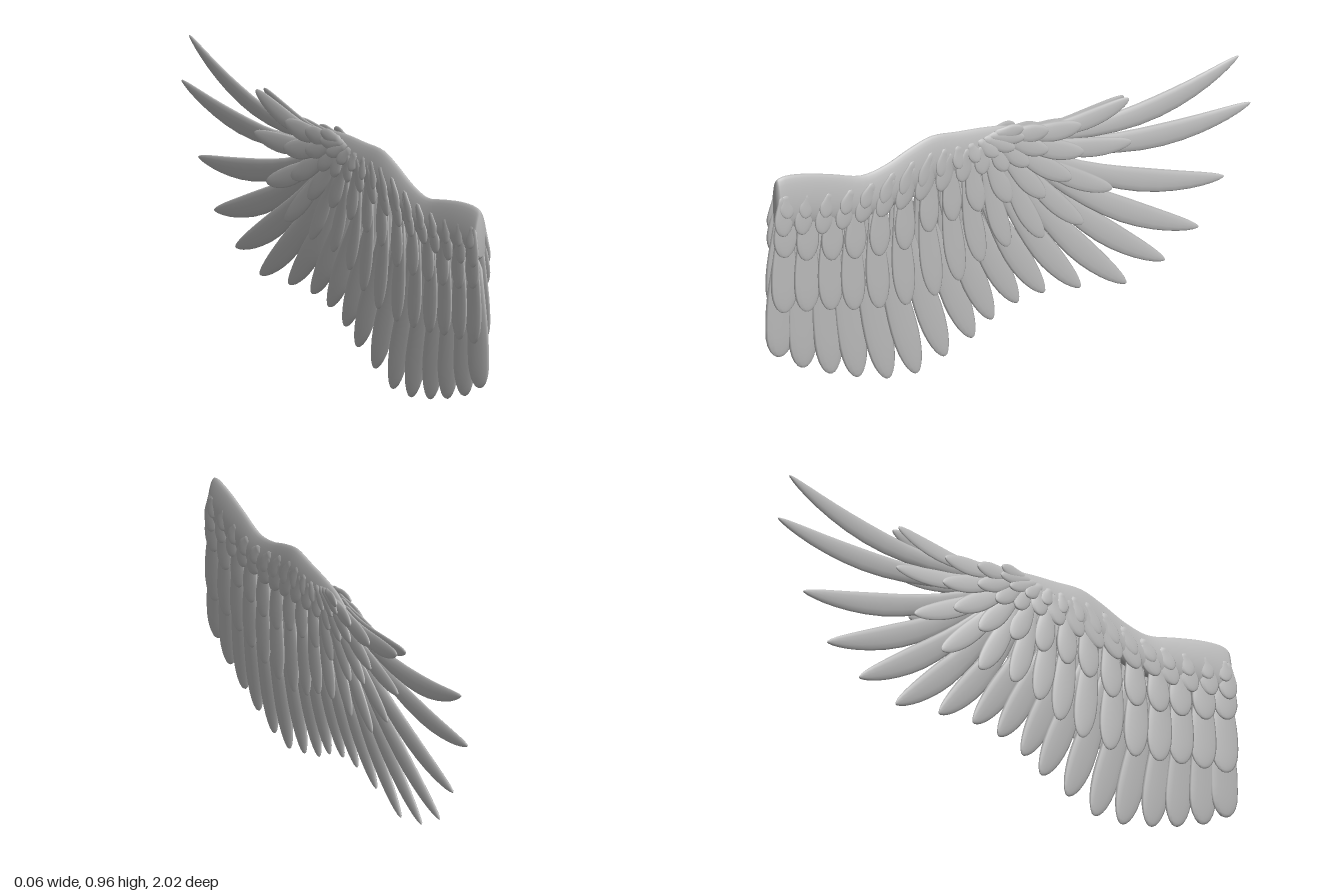
import * as THREE from 'three';

const gray = new THREE.MeshStandardMaterial({ color: 0xb8b8b8 });
gray.name = 'feather gray';

// Skin a list of equal closed rings of [x, y, z] points
function loft(rings) {
  const n = rings[0].length, index = [];
  for (let i = 0; i < rings.length - 1; i++) {
    for (let j = 0; j < n; j++) {
      const k = (j + 1) % n;
      const a = i * n + j, b = i * n + k, c = a + n, d = b + n;
      index.push(a, c, b, b, c, d);
    }
  }
  const geo = new THREE.BufferGeometry();
  geo.setAttribute('position', new THREE.Float32BufferAttribute(rings.flat(2), 3));
  geo.setIndex(index);
  geo.computeVertexNormals();
  return geo;
}

// One feather in the z-y plane: a flat oval section swept from root to tip
function feather({ root, tip, width, thick, x, side, lift, roll, bend, tipStart, point }) {
  const steps = 14, sides = 12, rings = [];
  const dz = tip[0] - root[0], dy = tip[1] - root[1], len = Math.hypot(dz, dy);
  const nz = -dy / len, ny = dz / len;
  for (let i = 0; i <= steps; i++) {
    const t = Math.sin((Math.PI / 2) * (i / steps));
    const sag = bend * 4 * t * (1 - t), slope = bend * 4 * (1 - 2 * t);
    const cz = root[0] + dz * t + nz * sag, cy = root[1] + dy * t + ny * sag;
    // side direction follows the curve of the shaft
    const tz = dz + nz * slope, ty = dy + ny * slope, tl = Math.hypot(tz, ty);
    const u = Math.max(0, (t - tipStart) / (1 - tipStart));
    const taper = Math.pow(Math.max(0, 1 - u * u), point);
    const grow = 0.5 + 0.5 * THREE.MathUtils.smoothstep(t, 0, 0.7);
    const w = i === 0 ? 0 : width * grow * taper;
    const h = i === 0 ? 0 : thick * Math.sqrt(taper);
    const ring = [];
    for (let j = 0; j < sides; j++) {
      const a = (j / sides) * Math.PI * 2, c = Math.cos(a);
      const out = side * (x - lift * (1 - t) + roll * c * taper);
      ring.push([out + h * Math.sin(a), cy + (tz / tl) * w * c, cz - (ty / tl) * w * c]);
    }
    rings.push(ring);
  }
  return loft(rings);
}

// A row of feathers whose roots are spread along a curve; pairs blend first to last
function featherRow(name, row, side) {
  const group = new THREE.Group();
  group.name = name;
  const roots = new THREE.CatmullRomCurve3(row.roots.map(([z, y]) => new THREE.Vector3(0, y, z)));
  const blend = ([a, b], t) => a + (b - a) * t;
  row.tips.forEach((tip, i) => {
    const t = i / (row.tips.length - 1), p = roots.getPoint(t);
    const mesh = new THREE.Mesh(feather({
      ...row, side, tip, root: [p.z, p.y],
      width: blend(row.width, t),
      bend: blend(row.bend, t * t * t),
      tipStart: blend(row.tipStart, t),
      point: blend(row.point, t),
    }), gray);
    mesh.name = name + 'Feather';
    group.add(mesh);
  });
  return group;
}

// Long feathers in the middle, shared by both faces of the wing
const flight = {
  tips: [[0.955, 0.155], [0.855, 0.10], [0.74, 0.06], [0.63, 0.03], [0.505, 0.005], [0.387, 0.005],
    [0.27, 0.05], [0.156, 0.10], [0.075, 0.155], [-0.03, 0.20], [-0.14, 0.22], [-0.29, 0.215],
    [-0.48, 0.20], [-0.64, 0.26], [-0.78, 0.36], [-0.885, 0.53], [-0.995, 0.785], [-0.945, 0.965]],
  roots: [[0.935, 0.65], [0.62, 0.62], [0.25, 0.70], [0, 0.75], [-0.02, 0.82]],
  width: [0.064, 0.042], thick: 0.01, x: 0, lift: 0, roll: 0.004,
  bend: [0.008, 0.085], tipStart: [0.8, 0.5], point: [0.5, 0.62],
};

// Covering rows, each shorter and further out, repeated on both faces
const coverts = {
  longCovert: {
    tips: [[0.945, 0.32], [0.85, 0.31], [0.75, 0.30], [0.655, 0.285], [0.55, 0.275], [0.44, 0.27],
      [0.32, 0.285], [0.22, 0.325], [0.13, 0.38], [0.02, 0.42], [-0.125, 0.43], [-0.29, 0.455],
      [-0.41, 0.565], [-0.49, 0.725], [-0.48, 0.885]],
    roots: [[0.94, 0.70], [0.62, 0.66], [0.27, 0.74], [0.03, 0.78], [0, 0.83]],
    width: [0.058, 0.034], thick: 0.007, x: 0.017, lift: 0.008, roll: 0.004,
    bend: [0.005, 0.035], tipStart: [0.75, 0.6], point: [0.5, 0.5],
  },
  middleCovert: {
    tips: [[0.945, 0.525], [0.855, 0.50], [0.75, 0.485], [0.655, 0.475], [0.555, 0.47], [0.45, 0.475],
      [0.35, 0.525], [0.25, 0.55], [0.14, 0.57], [0.015, 0.585], [-0.13, 0.58], [-0.24, 0.63],
      [-0.29, 0.72], [-0.28, 0.82]],
    roots: [[0.94, 0.74], [0.62, 0.69], [0.29, 0.77], [0.07, 0.80], [0.02, 0.84]],
    width: [0.052, 0.036], thick: 0.007, x: 0.022, lift: 0.009, roll: 0.004,
    bend: [0.004, 0.015], tipStart: [0.65, 0.6], point: [0.5, 0.5],
  },
  shortCovert: {
    tips: [[0.955, 0.605], [0.88, 0.60], [0.80, 0.59], [0.72, 0.595], [0.645, 0.61], [0.56, 0.615],
      [0.48, 0.63], [0.40, 0.65], [0.31, 0.67], [0.22, 0.69], [0.13, 0.705], [0.03, 0.705],
      [-0.06, 0.71], [-0.14, 0.75], [-0.14, 0.825]],
    roots: [[0.95, 0.76], [0.62, 0.72], [0.31, 0.80], [0.10, 0.82], [0.04, 0.84]],
    width: [0.042, 0.034], thick: 0.007, x: 0.026, lift: 0.01, roll: 0.003,
    bend: [0.002, 0.008], tipStart: [0.6, 0.55], point: [0.5, 0.5],
  },
  tinyCovert: {
    tips: [[0.94, 0.67], [0.87, 0.66], [0.79, 0.65], [0.71, 0.65], [0.63, 0.66], [0.55, 0.665],
      [0.47, 0.685], [0.39, 0.70], [0.31, 0.725], [0.23, 0.74], [0.15, 0.755], [0.07, 0.765],
      [0.0, 0.78], [-0.04, 0.815], [-0.035, 0.85]],
    roots: [[0.94, 0.76], [0.62, 0.735], [0.33, 0.82], [0.16, 0.83], [0.08, 0.845]],
    width: [0.036, 0.026], thick: 0.006, x: 0.028, lift: 0.012, roll: 0.002,
    bend: [0, 0.004], tipStart: [0.5, 0.5], point: [0.5, 0.5],
  },
};

// Leading edge: teardrop sections given as [z, top, bottom, half thickness]
function leadingEdge() {
  const keys = [[0.975, 0.81, 0.64, 0.024], [0.94, 0.82, 0.62, 0.026], [0.85, 0.815, 0.62, 0.026],
    [0.74, 0.795, 0.61, 0.025], [0.62, 0.772, 0.61, 0.025], [0.52, 0.795, 0.63, 0.025],
    [0.42, 0.84, 0.67, 0.025], [0.33, 0.871, 0.70, 0.025], [0.22, 0.87, 0.72, 0.024],
    [0.1, 0.868, 0.74, 0.022], [0.02, 0.86, 0.76, 0.018], [-0.05, 0.835, 0.79, 0.01]];
  const tops = new THREE.CatmullRomCurve3(keys.map(([z, top]) => new THREE.Vector3(0, top, z)));
  const lows = new THREE.CatmullRomCurve3(keys.map(([z, , low, h]) => new THREE.Vector3(h, low, z)));
  const steps = 44, sides = 24, rings = [];
  const section = (t, scale) => {
    const a = tops.getPoint(t), b = lows.getPoint(t), ring = [];
    const mid = (a.y + b.y) / 2, half = ((a.y - b.y) / 2) * scale;
    for (let j = 0; j < sides; j++) {
      const angle = (j / sides) * Math.PI * 2, c = Math.cos(angle);
      ring.push([-b.x * scale * Math.sin(angle) * (1 - 0.3 * c), mid + half * c, a.z]);
    }
    return ring;
  };
  rings.push(section(0, 0), section(0, 0.93));
  for (let i = 1; i <= steps; i++) rings.push(section(i / steps, 1));
  rings.push(section(1, 0));
  const mesh = new THREE.Mesh(loft(rings), gray);
  mesh.name = 'leadingEdge';
  return mesh;
}

export function createModel() {
  const wing = new THREE.Group();
  wing.name = 'wing';
  wing.add(leadingEdge(), featherRow('flight', flight, 1));
  for (const side of [1, -1]) {
    for (const [name, row] of Object.entries(coverts)) {
      wing.add(featherRow((side > 0 ? 'left' : 'right') + name[0].toUpperCase() + name.slice(1), row, side));
    }
  }
  return wing;
}
